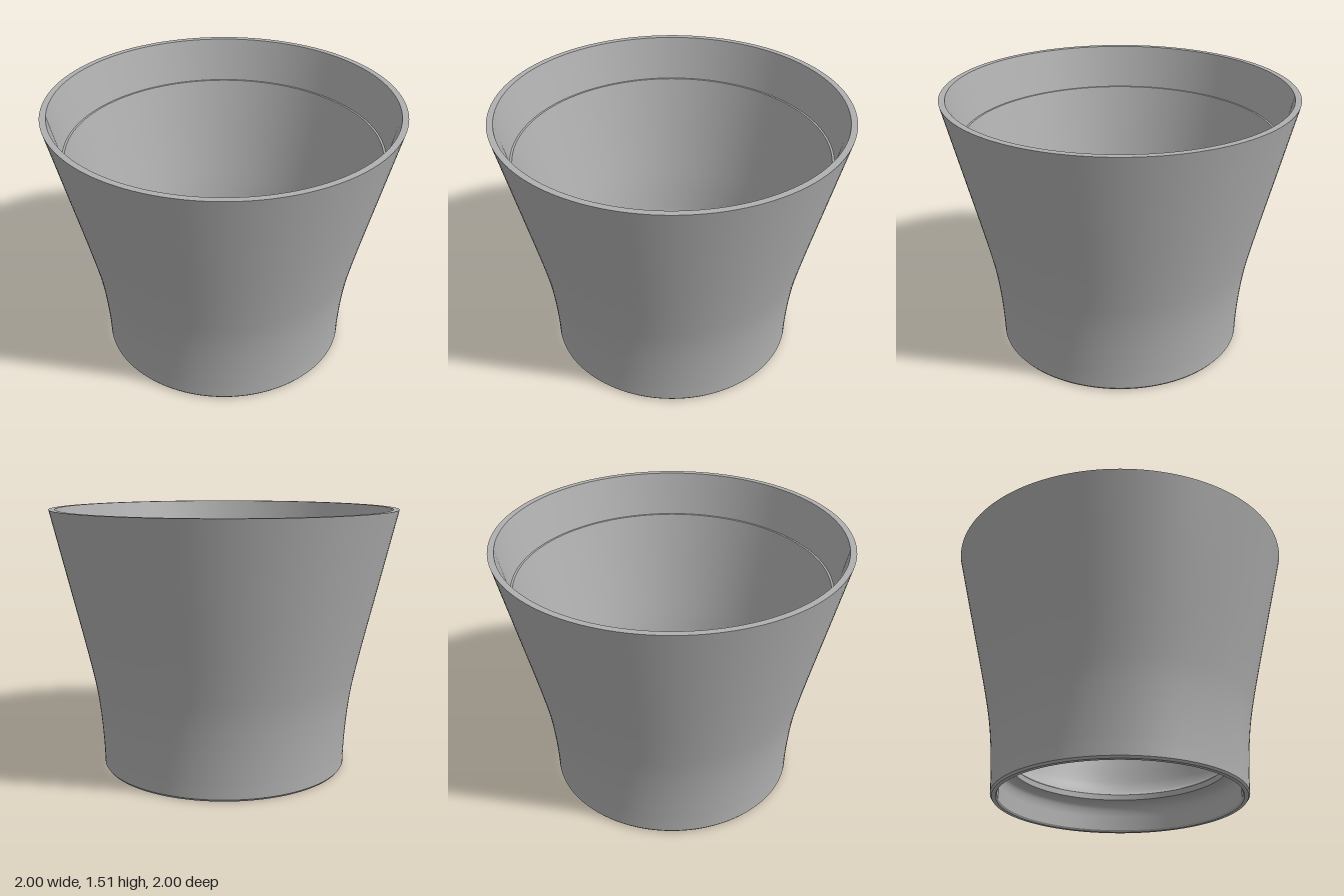
import * as THREE from 'three';

export function createModel() {
  const model = new THREE.Group();
  model.name = 'flaredCollar';
  const grey = new THREE.MeshStandardMaterial({ color: 0xb0b0b0 });
  grey.name = 'plain grey';

  // Each smooth section of the profile is its own lathe, so edges between them stay sharp.
  // Sections run anticlockwise round the wall: up the outside, down the inside.
  const ring = (name, points, samples = 0) => {
    let profile = points.map(([r, y]) => new THREE.Vector2(r, y));
    if (samples) profile = new THREE.SplineCurve(profile).getPoints(samples);
    const mesh = new THREE.Mesh(new THREE.LatheGeometry(profile, 128), grey);
    mesh.name = name;
    model.add(mesh);
  };

  // Outer shell: nearly upright foot blending into a straight flare
  ring('bottomBevel', [[0.715, 0], [0.724, 0.012]]);
  ring('outerWall', [
    [0.724, 0.012], [0.726, 0.1], [0.733, 0.22], [0.744, 0.34], [0.76, 0.46],
    [0.785, 0.59], [0.832, 0.8], [0.916, 1.157], [1, 1.515],
  ], 40);

  // Rim, recessed seat and its small ledge
  ring('topRim', [[1, 1.515], [0.965, 1.515]]);
  ring('rimInnerWall', [[0.965, 1.515], [0.905, 1.26]]);
  ring('ledge', [[0.905, 1.26], [0.893, 1.26]]);

  // Inner wall, rounding inwards to the throat
  ring('innerWall', [
    [0.893, 1.26], [0.84, 1.03], [0.787, 0.8], [0.739, 0.59], [0.714, 0.46],
    [0.697, 0.36], [0.682, 0.3], [0.655, 0.25], [0.62, 0.225],
  ], 40);
  ring('throat', [[0.62, 0.225], [0.62, 0.19]]);

  // Rounded underside of the throat and the hollow foot
  ring('footHollow', [
    [0.62, 0.19], [0.65, 0.18], [0.672, 0.157], [0.682, 0.12], [0.684, 0.07], [0.685, 0.012],
  ], 24);
  ring('footInnerBevel', [[0.685, 0.012], [0.692, 0]]);
  ring('bottomRim', [[0.692, 0], [0.715, 0]]);

  return model;
}
